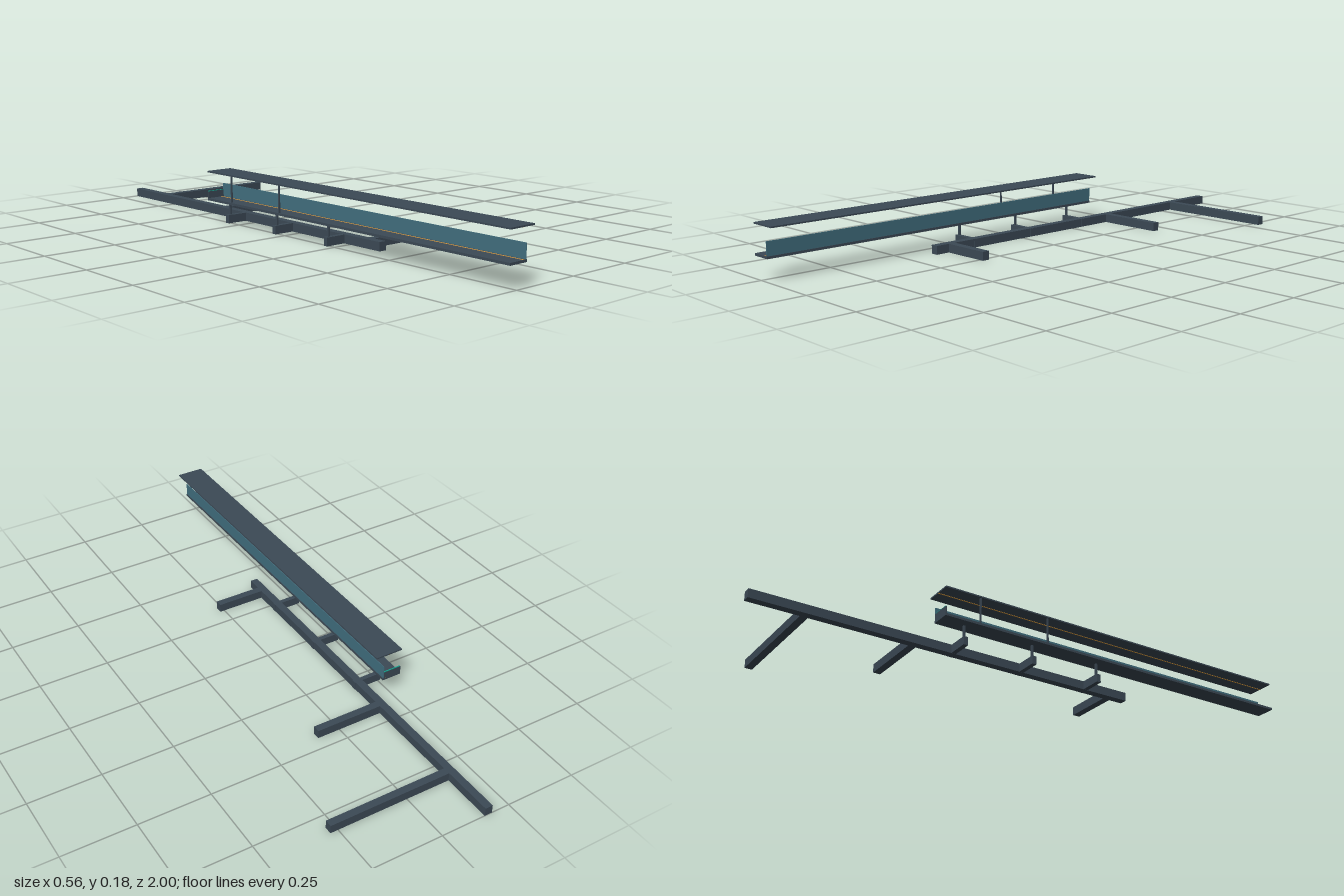
import * as THREE from 'three';

export function createModel() {
  const model = new THREE.Group();
  const mat = (name, color) => {
    const m = new THREE.MeshStandardMaterial({ color });
    m.name = name;
    return m;
  };
  const slate = mat('slate steel', 0x3c4a56);
  const glass = mat('blue glass', 0x427080);
  const teal = mat('teal trim', 0x16a08c);
  const amber = mat('amber line', 0xe0a040);

  // Box given by its limits on each axis
  const box = (name, material, [x0, x1], [y0, y1], [z0, z1]) => {
    const mesh = new THREE.Mesh(new THREE.BoxGeometry(x1 - x0, y1 - y0, z1 - z0), material);
    mesh.position.set((x0 + x1) / 2, (y0 + y1) / 2, (z0 + z1) / 2);
    mesh.name = name;
    model.add(mesh);
  };

  // Ground beam and its side arms
  const beamY = [0, 0.03];
  box('mainBeam', slate, [-0.185, -0.158], beamY, [-1, 0.39]);
  for (const [z, reach] of [[-0.81, 0.277], [-0.44, 0.082], [0.325, 0.017]]) {
    box('sideArm', slate, [-0.158, reach], beamY, [z - 0.013, z + 0.013]);
  }

  // Brackets and posts that carry the deck
  for (const z of [-0.303, -0.043, 0.218]) {
    box('bracket', slate, [-0.26, -0.156], [0.0005, 0.0295], [z - 0.008, z + 0.008]);
    box('deckPost', slate, [-0.25, -0.243], [0.03, 0.074], [z - 0.0035, z + 0.0035]);
  }

  // Deck with guide line, glass screen and closed back end
  const deckZ = [-0.39, 1];
  box('deck', slate, [-0.28, -0.21], [0.073, 0.081], deckZ);
  box('deckLine', amber, [-0.225, -0.221], [0.081, 0.0818], deckZ);
  box('glassScreen', glass, [-0.2135, -0.2115], [0.081, 0.128], deckZ);
  box('endWall', slate, [-0.28, -0.2135], [0.081, 0.105], [-0.39, -0.386]);
  box('endWallTrim', teal, [-0.279, -0.2135], [0.105, 0.1065], [-0.39, -0.386]);

  // Roof on two posts, with a light strip below
  box('roof', slate, [-0.28, -0.18], [0.173, 0.178], deckZ);
  box('roofLight', amber, [-0.232, -0.228], [0.1722, 0.173], deckZ);
  for (const z of [-0.258, 0.002]) {
    box('roofPost', slate, [-0.276, -0.271], [0.081, 0.173], [z - 0.0025, z + 0.0025]);
  }
  return model;
}
